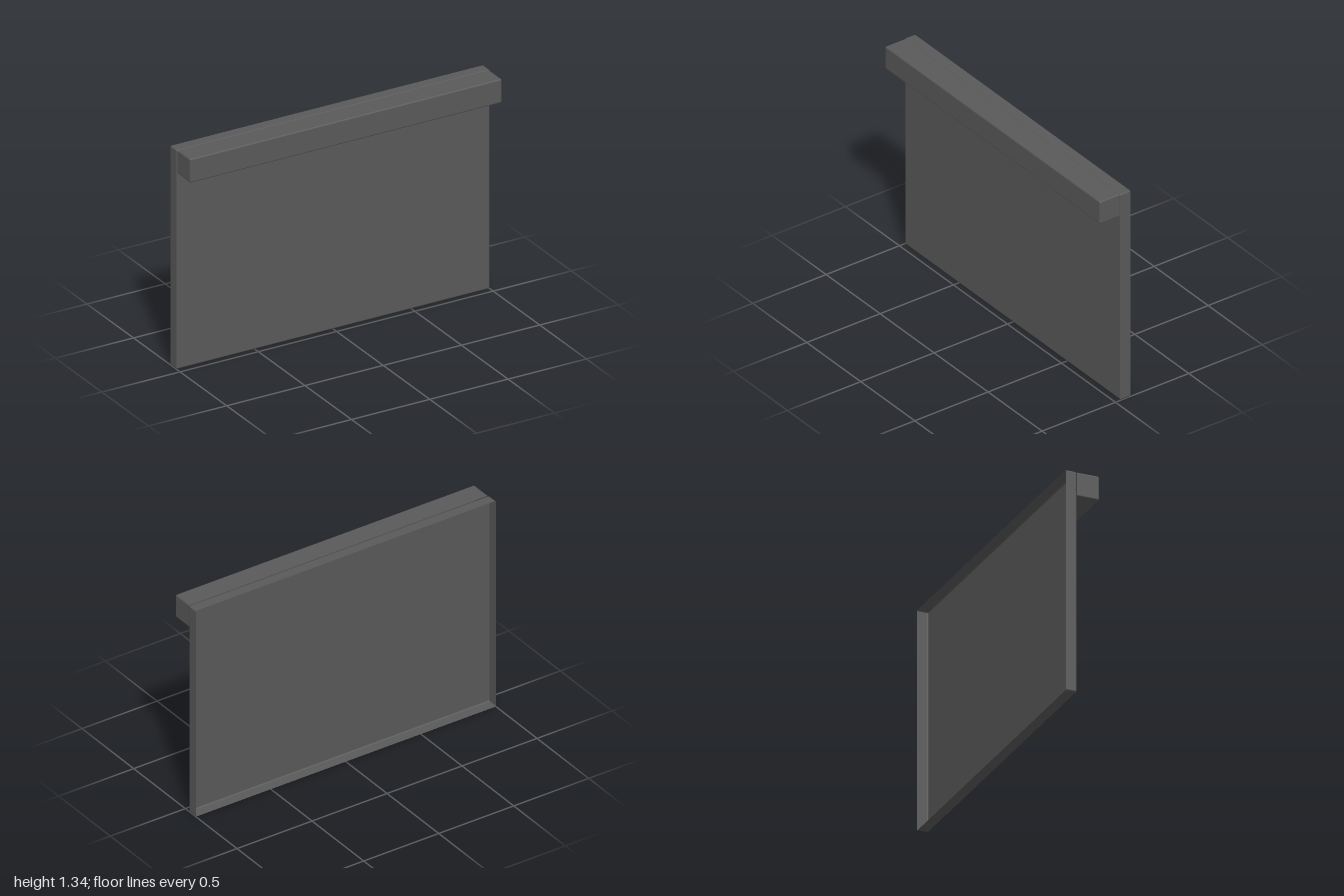
import * as THREE from 'three';

// Open-backed shell: rounded front edges and corners, straight walls, no back face.
function openShell(width, bottom, top, back, front, r) {
  const steps = 4;
  const pos = [], nor = [], idx = [];
  const corners = [
    [width / 2 - r, top - r],
    [-width / 2 + r, top - r],
    [-width / 2 + r, bottom + r],
    [width / 2 - r, bottom + r],
  ];
  const count = corners.length * (steps + 1);

  function addRing(tilt, z) {
    corners.forEach(([cx, cy], c) => {
      for (let i = 0; i <= steps; i++) {
        const a = (c + i / steps) * Math.PI / 2;
        const nx = Math.cos(a) * Math.cos(tilt);
        const ny = Math.sin(a) * Math.cos(tilt);
        pos.push(cx + r * nx, cy + r * ny, z);
        nor.push(nx, ny, Math.sin(tilt));
      }
    });
  }

  // Wall from the open rim forward, then the rounded front edge
  addRing(0, back);
  for (let k = 0; k <= steps; k++) {
    const tilt = k / steps * Math.PI / 2;
    addRing(tilt, front - r + r * Math.sin(tilt));
  }
  for (let k = 0; k <= steps; k++) {
    for (let i = 0; i < count; i++) {
      const a = k * count + i, b = k * count + (i + 1) % count;
      idx.push(a, b, b + count, a, b + count, a + count);
    }
  }

  // Flat front face
  const base = pos.length / 3;
  corners.forEach(([x, y]) => {
    pos.push(x, y, front);
    nor.push(0, 0, 1);
  });
  idx.push(base, base + 1, base + 2, base, base + 2, base + 3);

  const geometry = new THREE.BufferGeometry();
  geometry.setAttribute('position', new THREE.Float32BufferAttribute(pos, 3));
  geometry.setAttribute('normal', new THREE.Float32BufferAttribute(nor, 3));
  geometry.setIndex(idx);
  return geometry;
}

export function createModel() {
  const group = new THREE.Group();
  const grey = new THREE.MeshStandardMaterial({ color: 0x595959, side: THREE.DoubleSide });
  grey.name = 'dark grey';

  // Tray-like front panel, hollow behind
  const panel = new THREE.Mesh(openShell(2, 0, 1.335, -0.102, -0.035, 0.009), grey);
  panel.name = 'frontPanel';

  // Full-width bar along the top edge
  const bar = new THREE.Mesh(openShell(1.992, 1.19, 1.335, -0.032, 0.102, 0.009), grey);
  bar.name = 'handleBar';

  group.add(panel, bar);
  return group;
}
